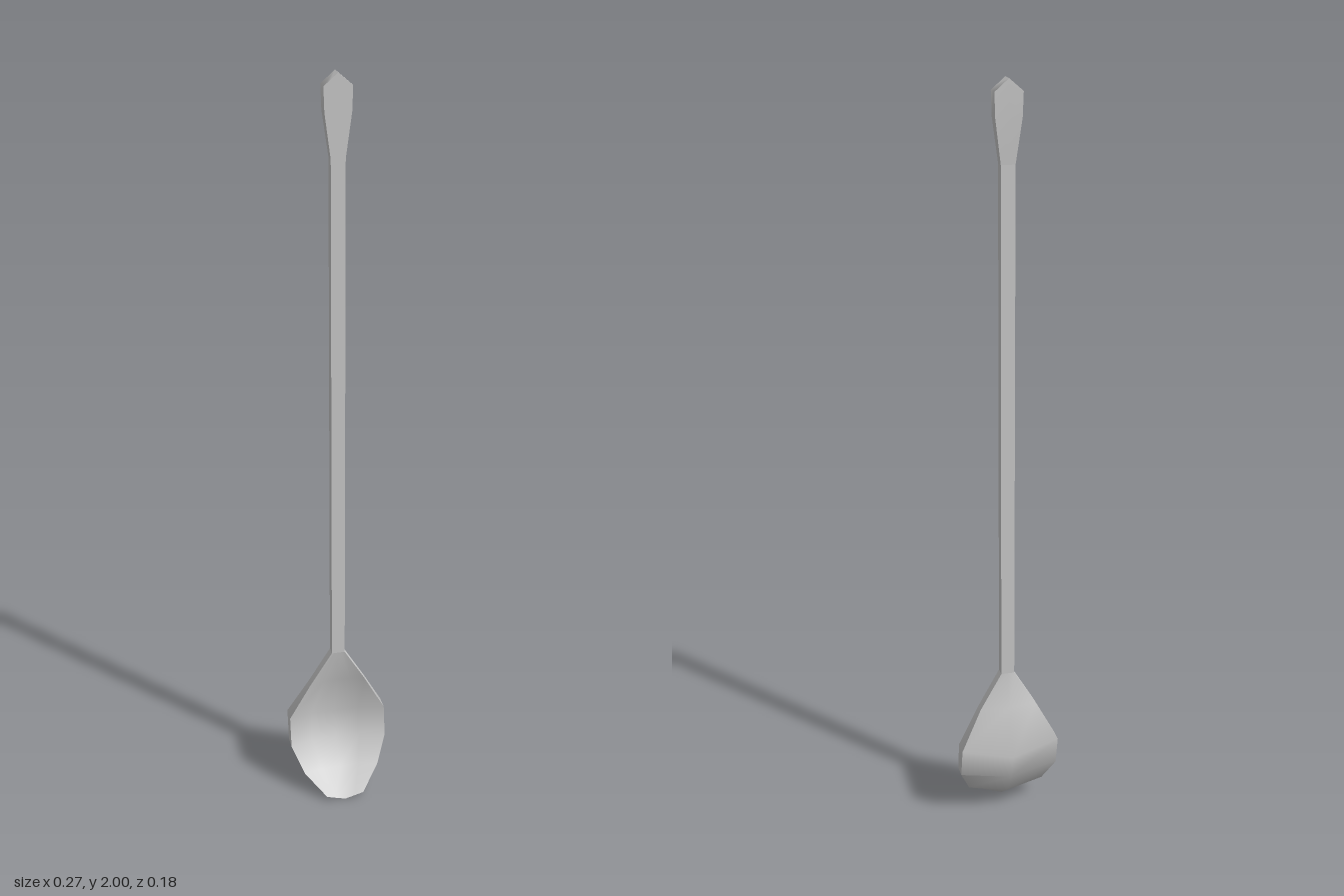
import * as THREE from 'three';
import { toCreasedNormals } from 'three/addons/utils/BufferGeometryUtils.js';

// Each row: [side y, centre y, half width, side front z, side back z, centre front z, centre back z]
const GRIP = [
  [1.97, 2.0, 0.035, -0.003, -0.038, -0.003, -0.038],
  [1.91, 1.91, 0.033, -0.003, -0.037, -0.003, -0.037],
  [1.8, 1.8, 0.018, -0.004, -0.03, -0.004, -0.03],
];
const SHAFT = [
  [1.8, 1.8, 0.018, -0.004, -0.03, -0.004, -0.03],
  [0.43, 0.43, 0.018, -0.004, -0.03, -0.004, -0.03],
];
const BOWL = [
  [0.43, 0.43, 0.018, -0.004, -0.03, -0.004, -0.03],
  [0.33, 0.33, 0.077, -0.01, -0.035, -0.022, -0.046],
  [0.22, 0.2, 0.135, -0.018, -0.06, -0.058, -0.091],
  [0.135, 0.125, 0.135, -0.003, -0.042, -0.04, -0.07],
  [0.065, 0.055, 0.105, 0.034, -0.005, 0.01, -0.028],
  [0.015, 0.002, 0.052, 0.088, 0.05, 0.09, 0.04],
];

// Eight-sided section: five points across the front, three across the back
function ring([ys, yc, w, fs, bs, fc, bc]) {
  const half = [w / 2, (ys + yc) / 2, fs + (fc - fs) * 0.65];
  return [
    [w, ys, fs], half, [0, yc, fc], [-half[0], half[1], half[2]],
    [-w, ys, fs], [-w, ys, bs], [0, yc, bc], [w, ys, bs],
  ];
}

// Skin the sections from top to bottom, closing either end if asked
function loft(name, rows, capTop, capBottom) {
  const positions = rows.flatMap((row) => ring(row).flat());
  const index = [];
  const n = 8;
  for (let r = 0; r < rows.length - 1; r++) {
    for (let i = 0; i < n; i++) {
      const a = r * n + i, b = r * n + (i + 1) % n;
      index.push(a, b, b + n, a, b + n, a + n);
    }
  }
  const cap = [[0, 7, 6], [0, 6, 1], [1, 6, 2], [2, 6, 3], [3, 6, 4], [4, 6, 5]];
  const last = (rows.length - 1) * n;
  if (capTop) cap.forEach((t) => index.push(...t));
  if (capBottom) cap.forEach(([a, b, c]) => index.push(last + a, last + c, last + b));

  const geometry = new THREE.BufferGeometry();
  geometry.setAttribute('position', new THREE.Float32BufferAttribute(positions, 3));
  geometry.setIndex(index);
  const mesh = new THREE.Mesh(
    toCreasedNormals(geometry, 1.2),
    new THREE.MeshStandardMaterial({ color: 0xcccccc }),
  );
  mesh.name = name;
  return mesh;
}

export function createModel() {
  const group = new THREE.Group();
  group.name = 'longSpoon';
  group.add(
    loft('grip', GRIP, true, false),
    loft('shaft', SHAFT, false, false),
    loft('bowl', BOWL, false, true),
  );
  return group;
}
